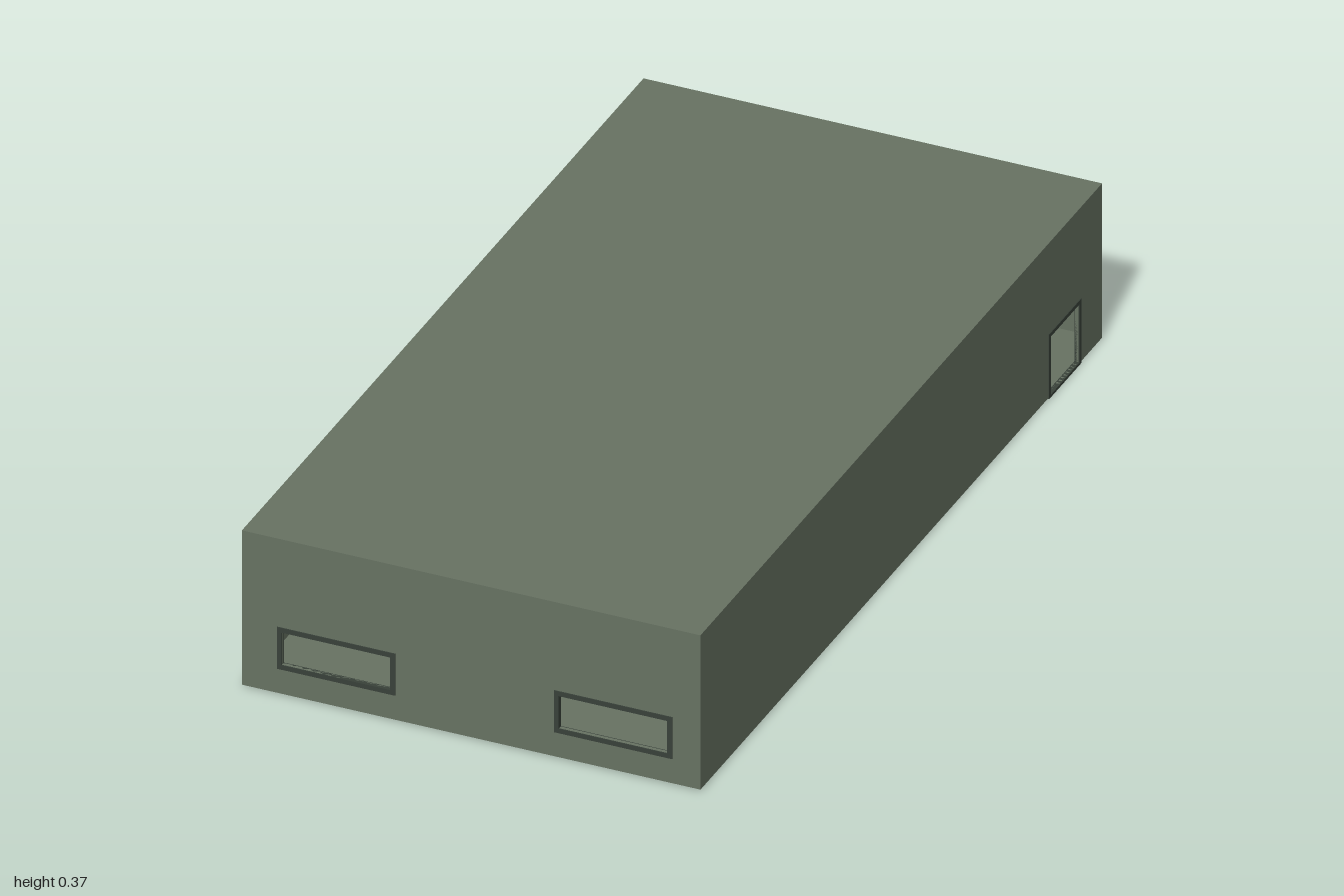
import * as THREE from 'three';

const W = 0.514, L = 0.998, Y0 = 0.005, Y1 = 0.37, T = 0.008;
const wallMat = new THREE.MeshStandardMaterial({ color: 0x687363 });
const frameMat = new THREE.MeshStandardMaterial({ color: 0x39423a });
const crateMat = new THREE.MeshStandardMaterial({ color: 0x44382f });

function rect(PathType, [x0, x1, y0, y1]) {
  return new PathType([[x0, y0], [x1, y0], [x1, y1], [x0, y1]].map(p => new THREE.Vector2(...p)));
}

// Flat panel with rectangular openings, front at z = depth
function panel(name, outline, holes, depth, mat) {
  const shape = rect(THREE.Shape, outline);
  holes.forEach(h => shape.holes.push(rect(THREE.Path, h)));
  const mesh = new THREE.Mesh(new THREE.ExtrudeGeometry(shape, { depth, bevelEnabled: false }), mat);
  mesh.name = name;
  return mesh;
}

function box(name, [x0, x1], [y0, y1], [z0, z1], mat) {
  const mesh = new THREE.Mesh(new THREE.BoxGeometry(x1 - x0, y1 - y0, z1 - z0), mat);
  mesh.position.set((x0 + x1) / 2, (y0 + y1) / 2, (z0 + z1) / 2);
  mesh.name = name;
  return mesh;
}

// Wall plus a slightly raised frame around each opening
function wall(name, halfWidth, holes, angle, distance, frameName, border, sill) {
  const group = new THREE.Group();
  group.name = name;
  group.add(panel(name + 'Panel', [-halfWidth, halfWidth, Y0, Y1], holes, T, wallMat));
  holes.forEach(h => {
    const outer = [h[0] - border, h[1] + border, h[2] - sill, h[3] + border];
    const frame = panel(frameName, outer, [h], T + 0.004, frameMat);
    frame.position.z = -0.002;
    group.add(frame);
  });
  group.rotation.y = angle;
  group.position.set(Math.sin(angle) * (distance - T), 0, Math.cos(angle) * (distance - T));
  return group;
}

export function createModel() {
  const model = new THREE.Group();
  model.name = 'bunker';

  // End walls, each with two slit windows at the same x
  const windows = [[-0.424, -0.181, 0.073, 0.15], [0.197, 0.44, 0.073, 0.15]];
  const mirrored = windows.map(([a, b, c, d]) => [-b, -a, c, d]);
  model.add(wall('frontWall', W, windows, 0, L, 'windowFrame', 0.011, 0.011));
  model.add(wall('backWall', W, mirrored, Math.PI, L, 'windowFrame', 0.011, 0.011));

  // Side walls, each with one doorway
  model.add(wall('leftWall', L, [[0.74, 0.882, 0.008, 0.146]], Math.PI / 2, W, 'doorFrame', 0.009, 0.006));
  model.add(wall('rightWall', L, [[0.58, 0.725, 0.008, 0.146]], -Math.PI / 2, W, 'doorFrame', 0.009, 0.006));

  // Roof and floor slabs
  model.add(box('roof', [-W, W], [Y1 - T, Y1], [-L, L], wallMat));
  model.add(box('floor', [-W, W], [Y0 - 0.001, 0.008], [-L, L], wallMat));

  // Crates: x range, top and bottom, z range
  const crates = [
    // middle group
    [[-0.045, 0.155], [0.002, 0.117], [-0.23, -0.085]],
    [[-0.045, 0.005], [0.002, 0.07], [-0.27, -0.23]],
    // stepped stack against the right wall
    [[-0.505, -0.34], [0, 0.06], [0, 0.066]],
    [[-0.505, -0.382], [0.06, 0.097], [0, 0.066]],
    // stack by the back wall
    [[-0.1, 0.19], [0.008, 0.057], [-0.94, -0.812]],
    [[-0.1, 0.19], [0.057, 0.1], [-0.94, -0.838]],
    // stacks along the left wall
    [[0.1, 0.21], [0.008, 0.117], [-0.42, -0.3]],
    [[0.272, 0.5], [0.008, 0.117], [-0.2, -0.05]],
    [[0.345, 0.42], [0.117, 0.19], [-0.17, -0.08]],
  ];
  crates.forEach(([x, y, z]) => model.add(box('crate', x, y, z, crateMat)));

  return model;
}
